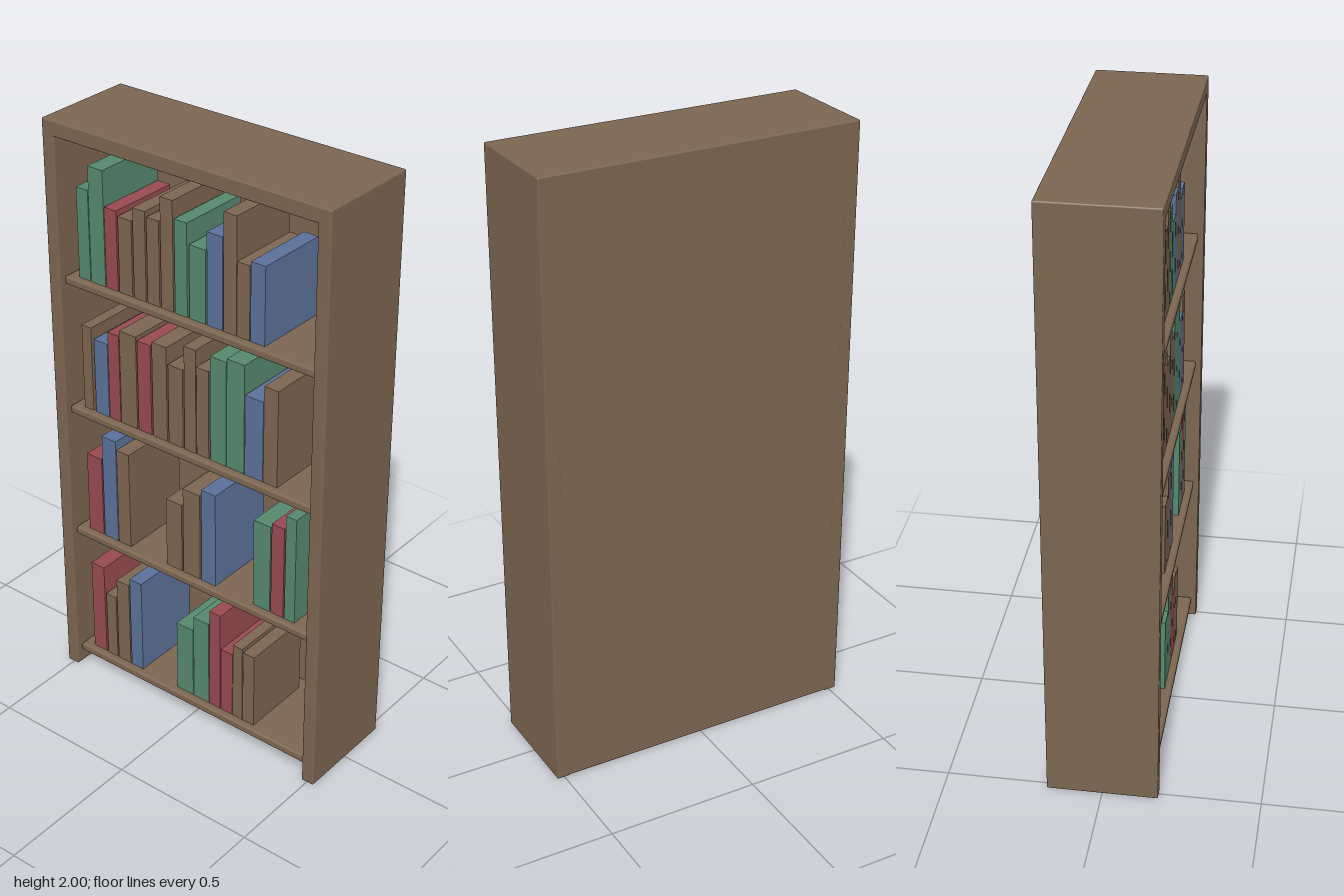
import * as THREE from 'three';
import { RoundedBoxGeometry } from 'three/addons/geometries/RoundedBoxGeometry.js';

const material = (name, color) => {
  const m = new THREE.MeshStandardMaterial({ color });
  m.name = name;
  return m;
};

export function createModel() {
  const wood = material('brown wood', 0x7b6550);
  const covers = {
    W: wood,
    G: material('green cover', 0x55876d),
    R: material('red cover', 0x964a50),
    B: material('blue cover', 0x5b7099),
  };
  const model = new THREE.Group();
  model.name = 'bookcase';

  // Places a panel by its minimum and maximum corners, with softened edges
  function panel(name, x0, x1, y0, y1, z0, z1, radius = 0.005) {
    const geometry = new RoundedBoxGeometry(x1 - x0, y1 - y0, z1 - z0, 2, radius);
    const mesh = new THREE.Mesh(geometry, wood);
    mesh.name = name;
    mesh.position.set((x0 + x1) / 2, (y0 + y1) / 2, (z0 + z1) / 2);
    model.add(mesh);
  }

  // Carcass
  panel('leftSide', 0.48, 0.525, 0, 2, -0.177, 0.177);
  panel('rightSide', -0.525, -0.48, 0, 2, -0.177, 0.177);
  panel('top', -0.52, 0.52, 1.95, 2, -0.177, 0.177);
  panel('back', -0.485, 0.485, 0.004, 1.99, -0.177, -0.157, 0.003);

  // Books per shelf: [cover, left x, right x, height]
  const shelves = [
    { y: 0.08, books: [
      ['R', -0.435, -0.38, 0.345], ['W', -0.373, -0.33, 0.245], ['W', -0.325, -0.272, 0.32],
      ['B', -0.267, -0.217, 0.35], ['G', -0.066, 0.002, 0.265], ['G', 0.005, 0.068, 0.32],
      ['R', 0.071, 0.116, 0.375], ['R', 0.119, 0.166, 0.245], ['W', 0.168, 0.206, 0.285],
      ['W', 0.209, 0.254, 0.275]] },
    { y: 0.565, books: [
      ['R', -0.435, -0.373, 0.29], ['B', -0.368, -0.31, 0.38], ['W', -0.307, -0.256, 0.35],
      ['W', -0.103, -0.04, 0.25], ['W', -0.034, 0.034, 0.315], ['B', 0.04, 0.096, 0.34],
      ['G', 0.246, 0.311, 0.315], ['R', 0.315, 0.363, 0.33], ['G', 0.368, 0.407, 0.38]] },
    { y: 1.03, books: [
      ['W', -0.435, -0.397, 0.295], ['B', -0.386, -0.331, 0.26], ['R', -0.328, -0.283, 0.305],
      ['W', -0.28, -0.214, 0.325], ['R', -0.209, -0.156, 0.315], ['W', -0.15, -0.093, 0.33],
      ['W', -0.087, -0.03, 0.275], ['W', -0.024, 0.021, 0.36], ['W', 0.024, 0.071, 0.305],
      ['G', 0.077, 0.138, 0.36], ['G', 0.14, 0.206, 0.373], ['B', 0.209, 0.277, 0.275],
      ['W', 0.279, 0.331, 0.33]] },
    { y: 1.49, books: [
      ['G', -0.435, -0.389, 0.3], ['G', -0.386, -0.328, 0.38], ['R', -0.325, -0.278, 0.265],
      ['W', -0.272, -0.22, 0.25], ['W', -0.214, -0.167, 0.295], ['W', -0.161, -0.114, 0.28],
      ['W', -0.108, -0.061, 0.36], ['G', -0.055, -0.008, 0.305], ['G', 0, 0.061, 0.24],
      ['B', 0.066, 0.124, 0.3], ['W', 0.127, 0.175, 0.38], ['W', 0.177, 0.223, 0.24],
      ['B', 0.226, 0.278, 0.255]] },
  ];

  // Shelves with their rows of upright books
  shelves.forEach(({ y, books }, s) => {
    panel(`shelf${s + 1}`, -0.477, 0.477, y - 0.028, y, -0.16, 0.16, 0.008);
    const row = new THREE.Group();
    row.name = `bookRow${s + 1}`;
    row.position.y = y;
    books.forEach(([cover, x0, x1, height], b) => {
      const mesh = new THREE.Mesh(new THREE.BoxGeometry(x1 - x0, height, 0.25), covers[cover]);
      mesh.name = `book${b + 1}`;
      mesh.position.set((x0 + x1) / 2, height / 2, 0.012);
      row.add(mesh);
    });
    model.add(row);
  });

  return model;
}
